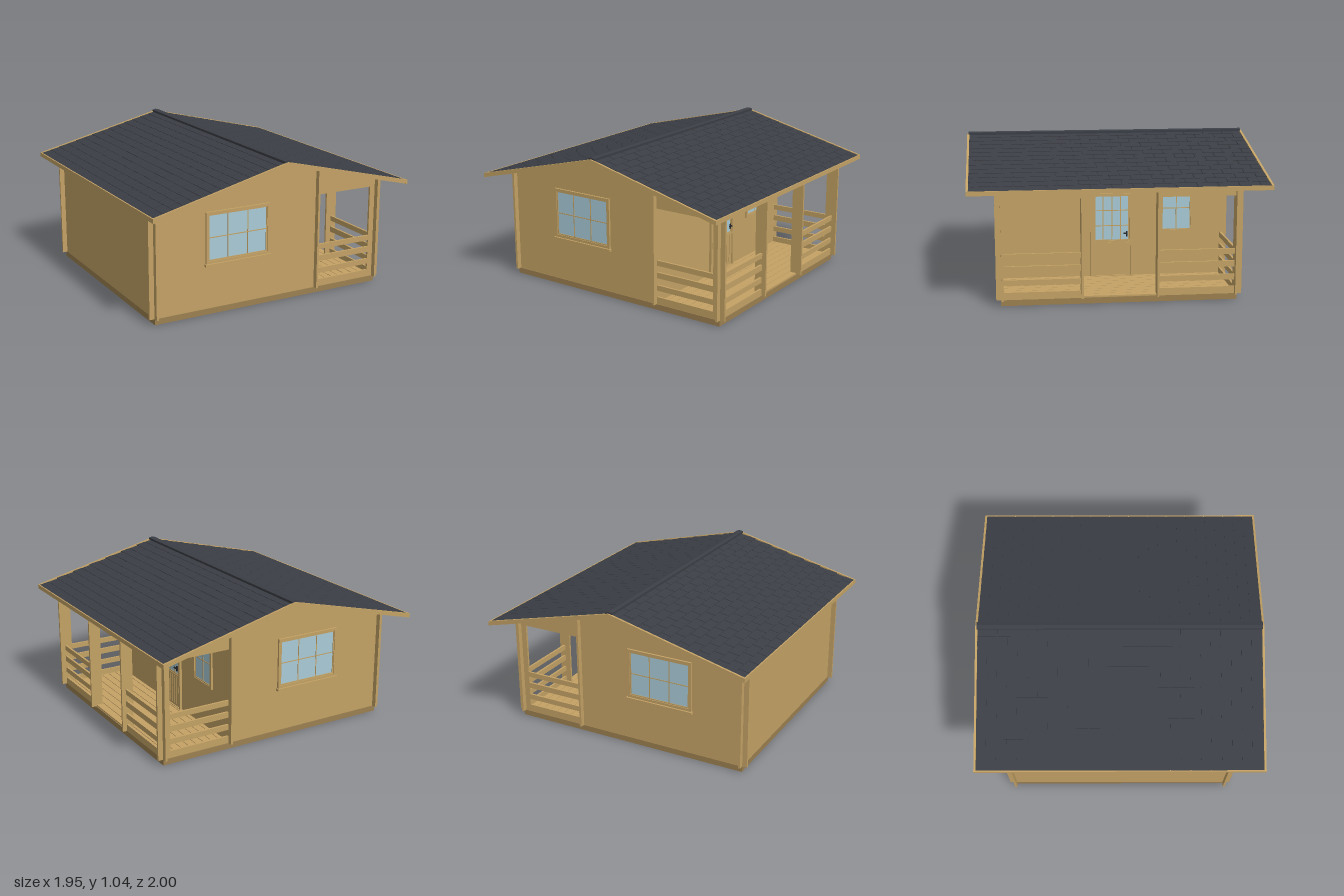
import * as THREE from 'three';
import { mergeGeometries } from 'three/addons/utils/BufferGeometryUtils.js';

const mat = (color) => new THREE.MeshStandardMaterial({ color });
const SLOPE = 0.246; // roof fall per unit of x
const T = 0.015; // wall board thickness

export function createModel() {
  const root = new THREE.Group();
  const wood = mat(0xc4a265), darkWood = mat(0x9c8050), roofing = mat(0x3b3e45);
  const glass = mat(0xa8cbd8), metal = mat(0x25262a);

  const add = (name, geo, material, parent = root) => {
    const m = new THREE.Mesh(geo, material);
    m.name = name;
    parent.add(m);
    return m;
  };
  const boxGeo = (x0, x1, y0, y1, z0, z1) =>
    new THREE.BoxGeometry(x1 - x0, y1 - y0, z1 - z0)
      .translate((x0 + x1) / 2, (y0 + y1) / 2, (z0 + z1) / 2);
  const box = (name, material, b, parent) => add(name, boxGeo(...b), material, parent);
  const polygon = (pts) => new THREE.Shape(pts.map((p) => new THREE.Vector2(...p)));
  const rect = (u0, u1, v0, v1) => [[u0, v0], [u1, v0], [u1, v1], [u0, v1]];
  const plate = (pts, holes, depth) => {
    const s = polygon(pts);
    s.holes = holes.map((h) => polygon([...h].reverse()));
    return new THREE.ExtrudeGeometry(s, { depth, bevelEnabled: false });
  };

  // Base: perimeter beams, joists along x and floor boards along z
  const base = new THREE.Group();
  base.name = 'base';
  root.add(base);
  for (const s of [-1, 1]) {
    box('sideBeam', darkWood, [s * 0.86 - T, s * 0.86 + T, 0, 0.04, -0.79, 0.79], base);
  }
  for (let i = 0; i < 11; i++) {
    const z = -0.775 + i * 0.155;
    box('joist', darkWood, [-0.86, 0.86, 0, 0.04, z - T, z + T], base);
  }
  const boards = [];
  for (let i = 0; i < 30; i++) {
    const x = -0.87 + i * 0.058;
    boards.push(boxGeo(x + 0.002, x + 0.056, 0.04, 0.05, -0.785, 0.785));
  }
  add('floorBoards', mergeGeometries(boards), wood, base);

  // Openings between the porch rails, shared by the end and side walls
  const gaps = [[0.09, 0.136], [0.174, 0.225], [0.266, 0.313], [0.35, 0.71]];
  const gapHoles = (u0, u1) => gaps.map(([v0, v1]) => rect(u0, u1, v0, v1));

  // Gable walls, front and back, with boards running past the corners
  const eaveY = 1 - SLOPE * 0.91;
  const gable = [[-0.91, 0.04], [0.91, 0.04], [0.91, eaveY], [0, 1], [-0.91, eaveY]];
  for (const s of [-1, 1]) {
    add(s > 0 ? 'frontWall' : 'backWall', plate(gable, gapHoles(0.375, 0.82), T), wood)
      .position.z = s > 0 ? 0.77 : -0.785;
  }

  // Closed side wall, partition behind the porch, porch side walls
  const wallY = 1 - SLOPE * 0.875;
  box('closedSideWall', wood, [-0.875, -0.86, 0.04, wallY, -0.82, 0.82]);
  box('partitionWall', wood, [0.36, 0.375, 0.04, 0.908, -0.82, 0.82]);
  for (const s of [-1, 1]) {
    const [a, b] = s > 0 ? [0.25, 0.82] : [-0.82, -0.25];
    const [c, d] = s > 0 ? [0.255, 0.77] : [-0.77, -0.255];
    const wall = add('porchSideWall', plate(rect(a, b, 0.04, wallY), gapHoles(c, d), T), wood);
    wall.rotation.y = -Math.PI / 2;
    wall.position.x = 0.875;
    box('porchPost', wood, [0.82, 0.905, 0.04, 0.778, s * 0.2525 - 0.0075, s * 0.2525 + 0.0075]);
  }
  box('porchTopBeam', wood, [0.86, 0.875, 0.762, wallY, -0.25, 0.25]);

  // Glazed unit built flat in xy and facing +z: frame, sash, pane and glazing bars
  function glazing(name, w, h, cols, rows, trim = 0.018) {
    const g = new THREE.Group();
    g.name = name;
    const ring = (label, W, H, t, depth) => add(label, plate(
      rect(-W / 2, W / 2, -H / 2, H / 2),
      [rect(-W / 2 + t, W / 2 - t, -H / 2 + t, H / 2 - t)], depth), wood, g);
    ring('frame', w, h, trim, 0.014);
    const iw = w - 2 * trim, ih = h - 2 * trim;
    ring('sash', iw, ih, 0.008, 0.009);
    box('pane', glass, [-iw / 2, iw / 2, -ih / 2, ih / 2, 0, 0.004], g);
    for (let i = 1; i < cols; i++) {
      const x = -iw / 2 + (iw * i) / cols;
      box('glazingBar', wood, [x - 0.003, x + 0.003, -ih / 2, ih / 2, 0, 0.007], g);
    }
    for (let i = 1; i < rows; i++) {
      const y = -ih / 2 + (ih * i) / rows;
      box('glazingBar', wood, [-iw / 2, iw / 2, y - 0.003, y + 0.003, 0, 0.007], g);
    }
    root.add(g);
    return g;
  }

  // Windows in both gable walls
  for (const s of [-1, 1]) {
    const win = glazing(s > 0 ? 'frontWindow' : 'backWindow', 0.485, 0.355, 3, 2);
    box('sill', wood, [-0.25, 0.25, -0.195, -0.178, 0, 0.025], win);
    win.position.set(-0.257, 0.533, s * 0.785);
    if (s < 0) win.rotation.y = Math.PI;
  }

  // Porch window and door on the partition
  const porchWindow = glazing('porchWindow', 0.245, 0.35, 2, 2);
  porchWindow.rotation.y = Math.PI / 2;
  porchWindow.position.set(0.375, 0.53, -0.458);

  const door = new THREE.Group();
  door.name = 'door';
  door.rotation.y = Math.PI / 2;
  door.position.set(0.375, 0, 0);
  root.add(door);
  const doorGlass = glazing('doorGlass', 0.27, 0.35, 4, 3, 0.012);
  doorGlass.position.set(0, 0.468, 0.002);
  door.add(doorGlass);
  add('doorFrame', plate(rect(-0.15, 0.15, 0.05, 0.665),
    [rect(-0.135, 0.135, 0.055, 0.65)], 0.018), wood, door);
  box('lowerPanel', wood, [-0.135, 0.135, 0.055, 0.295, 0, 0.008], door);
  for (let i = 0; i < 8; i++) {
    const x = -0.112 + i * 0.032;
    box('panelSlat', wood, [x - 0.011, x + 0.011, 0.075, 0.29, 0.008, 0.012], door);
  }
  box('handlePlate', metal, [0.1, 0.11, 0.335, 0.372, 0.01, 0.018], door);
  box('handle', metal, [0.08, 0.11, 0.355, 0.362, 0.018, 0.03], door);

  // Roof deck, verge boards and eave boards
  const chevron = (top, bottom, x) => [
    [-x, bottom - SLOPE * x], [0, bottom], [x, bottom - SLOPE * x],
    [x, top - SLOPE * x], [0, top], [-x, top - SLOPE * x]];
  add('roofDeck', plate(chevron(1.02, 1, 0.966), [], 1.97), roofing).position.z = -0.985;
  for (const s of [-1, 1]) {
    add('vergeBoard', plate(chevron(1.03, 1, 0.975), [], T), wood)
      .position.z = s > 0 ? 0.985 : -1;
    box('eaveBoard', wood, [s * 0.97 - 0.005, s * 0.97 + 0.005, 0.76, 0.79, -1, 1]);
  }

  // Staggered shingle tabs in overlapping courses
  const tabs = [], courses = 14, pitch = 0.14, run = 0.965 / courses;
  const angle = Math.atan(SLOPE);
  for (const s of [-1, 1]) {
    for (let c = 0; c < courses; c++) {
      const x = (c + 0.5) * run;
      for (let i = 0; i <= 15; i++) {
        const start = -0.985 - (c % 2) * pitch / 2 + i * pitch;
        const z0 = Math.max(start + 0.003, -0.985);
        const z1 = Math.min(start + pitch - 0.003, 0.985);
        if (z1 - z0 < 0.01) continue;
        tabs.push(new THREE.BoxGeometry(run / Math.cos(angle), 0.006, z1 - z0)
          .rotateZ(-s * (angle - 0.04))
          .translate(s * x, 1.023 - SLOPE * x, (z0 + z1) / 2));
      }
    }
  }
  add('shingles', mergeGeometries(tabs), roofing);
  add('ridgeCap', plate([[-0.025, 1.02], [0.025, 1.02], [0.025, 1.036], [0, 1.042], [-0.025, 1.036]],
    [], 1.98), roofing).position.z = -0.99;

  return root;
}
